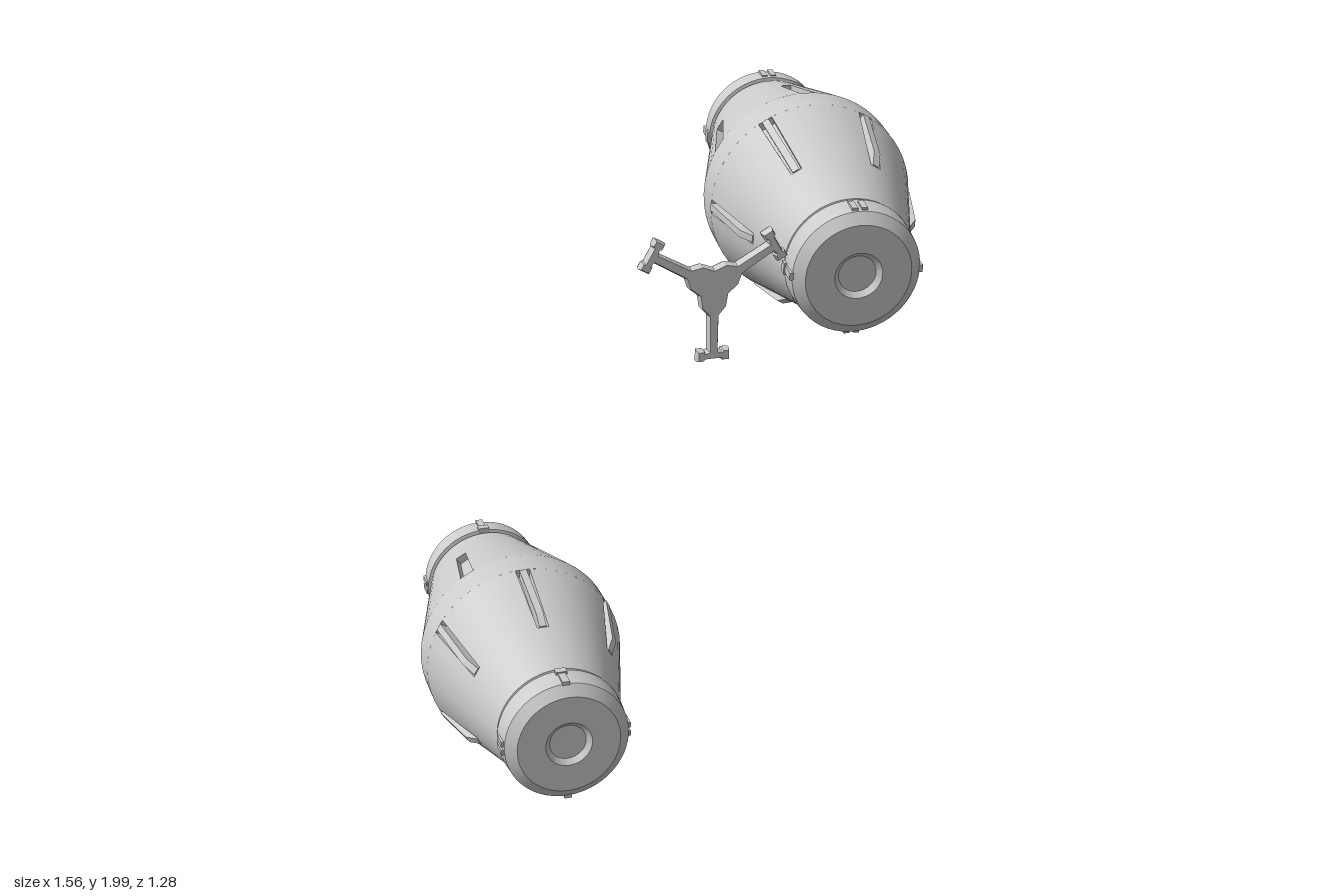
import * as THREE from 'three';
import { toCreasedNormals } from 'three/addons/utils/BufferGeometryUtils.js';

const MAT = new THREE.MeshStandardMaterial({ color: 0xcccccc });
const RAD = Math.PI / 180;
const R_MID = 0.307, R_END = 0.188, T_BAND = 0.05, T_SLOT = 0.3, T_END = 0.475;

function add(parent, geometry, name) {
  const mesh = new THREE.Mesh(geometry, MAT);
  mesh.name = name;
  parent.add(mesh);
  return mesh;
}

// Radius of the tapered shell at distance t from the middle
const shellRadius = t => R_MID + (R_END - R_MID) * (t - T_BAND) / (T_END - T_BAND);

// Tapered shell with six sunken slots, axis along +z
function shellGeometry() {
  const pos = [];
  const quad = (a, b, c, d) => [a, b, c, a, c, d].forEach(p => pos.push(...p));
  const pt = (deg, t, depth = 0) => {
    const r = shellRadius(t) - depth;
    return [r * Math.cos(deg * RAD), r * Math.sin(deg * RAD), t];
  };
  const cols = [-30, -23.5, -17, -10.6, -4.2, 4.2, 10.6, 17, 23.5, 30];
  const rows = [T_BAND, T_SLOT, T_END];
  const D = 0.024;
  for (let k = 0; k < 6; k++) {
    const mid = 90 + k * 60;
    for (let i = 0; i < cols.length - 1; i++) {
      const a = mid + cols[i], b = mid + cols[i + 1];
      for (let j = 0; j < 2; j++) {
        const s = rows[j], e = rows[j + 1];
        const slot = j === 0 && i === 4;
        const d = slot ? D : 0;
        quad(pt(a, s, d), pt(b, s, d), pt(b, e, d), pt(a, e, d));
        if (!slot) continue;
        quad(pt(a, s, D), pt(a, e, D), pt(a, e), pt(a, s));
        quad(pt(b, s, D), pt(b, s), pt(b, e), pt(b, e, D));
        quad(pt(a, s, D), pt(a, s), pt(b, s), pt(b, s, D));
        quad(pt(a, e, D), pt(b, e, D), pt(b, e), pt(a, e));
      }
    }
  }
  const g = new THREE.BufferGeometry();
  g.setAttribute('position', new THREE.Float32BufferAttribute(pos, 3));
  g.computeVertexNormals();
  return toCreasedNormals(g, 0.2);
}

function lathe(points) {
  const g = new THREE.LatheGeometry(points.map(p => new THREE.Vector2(...p)), 54);
  return toCreasedNormals(g.rotateX(Math.PI / 2), 0.2);
}

// Side profile (t, radius) extruded across its width, lying at angle 0
function finGeometry(profile, width) {
  const shape = new THREE.Shape(profile.map(([t, r]) => new THREE.Vector2(r, -t)));
  const g = new THREE.ExtrudeGeometry(shape, { depth: width, bevelEnabled: false });
  return g.translate(0, 0, -width / 2).rotateX(-Math.PI / 2).scale(1, 1, 1);
}

const SHELL = shellGeometry();
const BAND = lathe([[R_MID, -T_BAND], [R_MID, T_BAND]]);
const CAP = lathe([[R_END, 0.475], [0.174, 0.478], [0.174, 0.487], [0.192, 0.491], [0.192, 0.503],
  [0.187, 0.562], [0.155, 0.587], [0.07, 0.587], [0.055, 0.572], [0, 0.572]]);
// The rotation in finGeometry maps -t to +z, so the profile reads outward along z
const FIN = finGeometry([[-0.055, 0.27], [-0.055, 0.309], [-0.255, 0.267], [-0.298, 0.239], [-0.298, 0.2]].map(([t, r]) => [-t, r]), 0.022);

function capsuleHalf(raisedFins) {
  const half = new THREE.Group();
  add(half, SHELL, 'slottedShell');
  add(half, CAP, 'endCap');
  for (let k = 0; k < 6 && raisedFins; k++) {
    add(half, FIN, 'slotFin').rotation.z = (90 + 60 * k) * RAD;
  }
  return half;
}

// Cap fittings: single latches on one axis, paired ribs on the other
function capFittings() {
  const g = new THREE.Group();
  for (const side of [-1, 1]) {
    add(g, new THREE.BoxGeometry(0.022, 0.03, 0.075), 'capLatch').position.set(0, side * 0.18, 0.527);
    add(g, new THREE.BoxGeometry(0.034, 0.03, 0.024), 'latchBlock').position.set(0, side * 0.184, 0.5);
    for (const off of [-0.014, 0.014]) {
      add(g, new THREE.BoxGeometry(0.03, 0.017, 0.05), 'capRib').position.set(side * 0.18, off, 0.53);
    }
  }
  return g;
}

function capsule(name) {
  const group = new THREE.Group();
  group.name = name;
  add(group, BAND, 'middleBand');
  const front = capsuleHalf(true);
  front.name = 'frontHalf';
  const back = capsuleHalf(false);
  back.name = 'backHalf';
  back.rotation.set(0, Math.PI, 30 * RAD);
  const frontFittings = capFittings();
  frontFittings.name = 'frontCapFittings';
  const backFittings = capFittings();
  backFittings.name = 'backCapFittings';
  backFittings.rotation.y = Math.PI;
  group.add(front, back, frontFittings, backFittings);
  return group;
}

// Three-armed spinner with T-shaped feet
function spinner() {
  const group = new THREE.Group();
  group.name = 'threeArmSpinner';
  const half = [[0.04, 0.023], [0.034, 0.06], [0.012, 0.085], [0.01, 0.195], [0.026, 0.199], [0.029, 0.193],
    [0.044, 0.193], [0.044, 0.219], [0.029, 0.219], [0.026, 0.213]];
  const outline = [[0, 0], ...half, ...half.slice().reverse().map(([x, y]) => [-x, y])];
  const shape = new THREE.Shape(outline.map(p => new THREE.Vector2(...p)));
  const geo = new THREE.ExtrudeGeometry(shape, {
    depth: 0.016, bevelThickness: 0.011, bevelSize: 0.004, bevelSegments: 1
  }).translate(0, 0, -0.008);
  for (let k = 0; k < 3; k++) {
    add(group, geo, 'spinnerArm').rotation.z = (180 + 120 * k) * RAD;
  }
  return group;
}

export function createModel() {
  const model = new THREE.Group();
  const lower = capsule('lowerCapsule');
  lower.position.set(-0.475, 0.318, 0.052);

  // Upper capsule: quarter roll, then tilted along its axis
  const upper = capsule('upperCapsule');
  upper.position.set(0.47, 1.69, -0.04);
  const axis = new THREE.Vector3(-0.095, -0.104, 1).normalize();
  upper.quaternion.setFromUnitVectors(new THREE.Vector3(0, 0, 1), axis);
  upper.rotateZ(Math.PI / 2);

  const arms = spinner();
  arms.position.set(-0.005, 1.633, 0.5);
  model.add(lower, upper, arms);
  return model;
}
